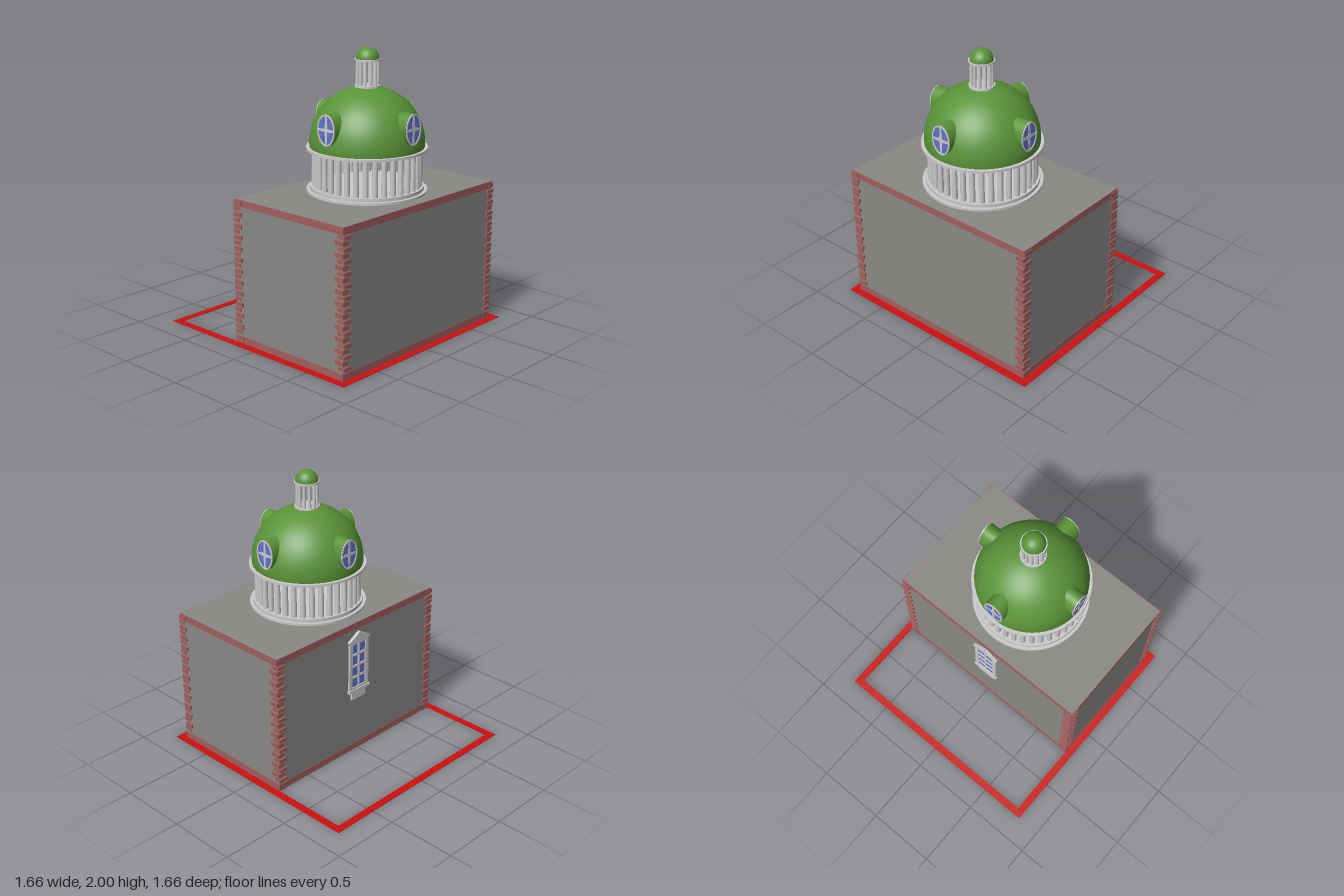
import * as THREE from 'three';

const mat = (name, color) => Object.assign(new THREE.MeshStandardMaterial({ color }), { name });

export function createModel() {
  const wall = mat('grey wall', 0x8a8885);
  const brick = mat('faded brick', 0xa05e5e);
  const red = mat('red border', 0xcc1010);
  const green = mat('green copper', 0x5a9338);
  const stone = mat('pale stone', 0xcacaca);
  const glass = mat('blue glass', 0x6072cc);

  const model = new THREE.Group();
  model.name = 'domedBuilding';

  const add = (parent, name, geo, material, x = 0, y = 0, z = 0) => {
    const m = new THREE.Mesh(geo, material);
    m.name = name;
    m.position.set(x, y, z);
    parent.add(m);
    return m;
  };
  // box given by its limits
  const block = (parent, name, material, x0, x1, y0, y1, z0, z1) =>
    add(parent, name, new THREE.BoxGeometry(x1 - x0, y1 - y0, z1 - z0), material,
      (x0 + x1) / 2, (y0 + y1) / 2, (z0 + z1) / 2);
  const disc = (parent, name, r, y0, y1, material = stone) =>
    add(parent, name, new THREE.CylinderGeometry(r, r, y1 - y0, 64), material, 0, (y0 + y1) / 2, 0);
  const group = (parent, name) => {
    const g = new THREE.Group();
    g.name = name;
    parent.add(g);
    return g;
  };

  // Ground border
  const square = (s) => [[-s, -s], [s, -s], [s, s], [-s, s]].map((p) => new THREE.Vector2(...p));
  const border = new THREE.Shape(square(0.83));
  border.holes.push(new THREE.Path(square(0.776)));
  const borderGeo = new THREE.ExtrudeGeometry(border, { depth: 0.003, bevelEnabled: false });
  add(model, 'groundBorder', borderGeo.rotateX(-Math.PI / 2), red);

  // Main block with bands along the foot and the eaves
  const X0 = -0.21, X1 = 0.77, Z = 0.768, H = 1.02, e = 0.003;
  block(model, 'mainBlock', wall, X0, X1, 0, H, -Z, Z);
  for (const [name, y0, y1] of [['footBand', 0.001, 0.05], ['eavesBand', 0.97, H - 0.001]]) {
    for (const s of [-1, 1]) {
      const z = s * Z;
      block(model, name, brick, X0, X1, y0, y1, Math.min(z, z + s * e), Math.max(z, z + s * e));
      const x = s < 0 ? X0 : X1;
      block(model, name, brick, Math.min(x, x + s * e), Math.max(x, x + s * e), y0, y1, -Z, Z);
    }
  }

  // Corner stones, alternating long along x and long along z
  const midX = (X0 + X1) / 2, halfX = (X1 - X0) / 2;
  const corners = group(model, 'cornerStones');
  corners.position.x = midX;
  for (const sx of [-1, 1]) for (const sz of [-1, 1]) {
    const stoneAt = (lx, lz, outX, outZ, y, h) =>
      add(corners, 'cornerStone', new THREE.BoxGeometry(lx, h, lz), brick,
        sx * (halfX + outX - lx / 2), y, sz * (Z + outZ - lz / 2));
    stoneAt(0.07, 0.07, 0.006, 0.008, 0.025, 0.05);
    for (let k = 0; k < 12; k++) {
      stoneAt(0.07, 0.055, 0.006, 0.01, 0.12 + 0.0793 * k, 0.03);
      stoneAt(0.058, 0.064, 0.014, 0.004, 0.08 + 0.0793 * k, 0.026);
    }
  }

  // Side window: gabled frame with two by four panes, sill and apron
  const sideWindow = group(model, 'sideWindow');
  sideWindow.position.x = X0;
  sideWindow.rotation.y = -Math.PI / 2;
  const frame = new THREE.Shape([[-0.095, 0.49], [0.095, 0.49], [0.095, 0.885], [0, 0.94], [-0.095, 0.885]]
    .map((p) => new THREE.Vector2(...p)));
  for (const cx of [-0.036, 0.036]) for (let r = 0; r < 4; r++) {
    const y = 0.52 + r * 0.088;
    frame.holes.push(new THREE.Path([[cx - 0.029, y], [cx + 0.029, y], [cx + 0.029, y + 0.074], [cx - 0.029, y + 0.074]]
      .map((p) => new THREE.Vector2(...p))));
  }
  add(sideWindow, 'windowFrame', new THREE.ExtrudeGeometry(frame, { depth: 0.014, bevelEnabled: false }), stone);
  block(sideWindow, 'windowGlass', glass, -0.08, 0.08, 0.505, 0.875, 0, 0.005);
  block(sideWindow, 'windowSill', stone, -0.102, 0.102, 0.485, 0.505, 0, 0.022);
  block(sideWindow, 'windowApron', stone, -0.07, 0.07, 0.425, 0.485, 0, 0.014);
  for (const s of [-1, 1]) {
    const cornice = add(sideWindow, 'windowCornice', new THREE.BoxGeometry(0.118, 0.014, 0.022), stone, s * 0.05, 0.914, 0.011);
    cornice.rotation.z = -s * Math.atan2(0.055, 0.095);
  }

  // Everything round stands on the dome axis
  const tower = group(model, 'domeTower');
  tower.position.x = 0.28;

  const colonnade = (name, count, ring, r, y0, y1) => {
    const g = group(tower, name);
    const geo = new THREE.CylinderGeometry(r * 0.92, r, y1 - y0, 16);
    for (let i = 0; i < count; i++) {
      const a = (i / count) * Math.PI * 2;
      add(g, 'column', geo, stone, Math.sin(a) * ring, (y0 + y1) / 2, Math.cos(a) * ring);
    }
  };

  // Drum
  disc(tower, 'drumBase', 0.413, 1.02, 1.036);
  disc(tower, 'drumStep', 0.39, 1.036, 1.06);
  colonnade('drumColumns', 36, 0.357, 0.02, 1.06, 1.31);
  disc(tower, 'drumCornice', 0.413, 1.31, 1.327);

  // Dome with a short straight foot
  const domeProfile = [new THREE.Vector2(0.39, 1.327)];
  for (let i = 0; i <= 32; i++) {
    const a = (i / 32) * Math.PI / 2;
    domeProfile.push(new THREE.Vector2(Math.max(0, 0.392 * Math.cos(a)), 1.35 + 0.39 * Math.sin(a)));
  }
  add(tower, 'dome', new THREE.LatheGeometry(domeProfile, 64), green);

  // Four oval dormers with ringed windows and a pointed cross
  const oval = (rx, ry) => new THREE.Shape().absellipse(0, 0, rx, ry, 0, Math.PI * 2);
  const ringShape = oval(0.076, 0.106);
  ringShape.holes.push(new THREE.Path().absellipse(0, 0, 0.066, 0.095, 0, Math.PI * 2));
  const plate = (shape, depth) => new THREE.ExtrudeGeometry(shape, { depth, bevelEnabled: false, curveSegments: 24 });
  const star = new THREE.Shape();
  const t = 0.012, w = 0.006;
  [[w, 0.098], [t, t], [0.068, w], [0.068, -w], [t, -t], [w, -0.098],
    [-w, -0.098], [-t, -t], [-0.068, -w], [-0.068, w], [-t, t], [-w, 0.098]]
    .forEach(([x, y], i) => (i ? star.lineTo(x, y) : star.moveTo(x, y)));
  const hoodGeo = new THREE.CylinderGeometry(1, 1, 0.18, 40).rotateX(Math.PI / 2).scale(0.078, 0.107, 1);
  for (let i = 0; i < 4; i++) {
    const dormer = group(tower, 'dormer');
    dormer.rotation.y = i * Math.PI / 2;
    add(dormer, 'dormerHood', hoodGeo, green, 0, 1.495, 0.31);
    add(dormer, 'dormerGlass', plate(oval(0.068, 0.097), 0.002), glass, 0, 1.495, 0.4);
    add(dormer, 'dormerRing', plate(ringShape, 0.007), stone, 0, 1.495, 0.4);
    add(dormer, 'dormerCross', plate(star, 0.005), stone, 0, 1.495, 0.4);
  }

  // Lantern
  disc(tower, 'lanternBase', 0.088, 1.732, 1.745);
  colonnade('lanternColumns', 12, 0.069, 0.012, 1.745, 1.91);
  disc(tower, 'lanternCornice', 0.088, 1.91, 1.921);
  add(tower, 'lanternCap', new THREE.SphereGeometry(0.079, 40, 16, 0, Math.PI * 2, 0, Math.PI / 2), green, 0, 1.921, 0);

  return model;
}
